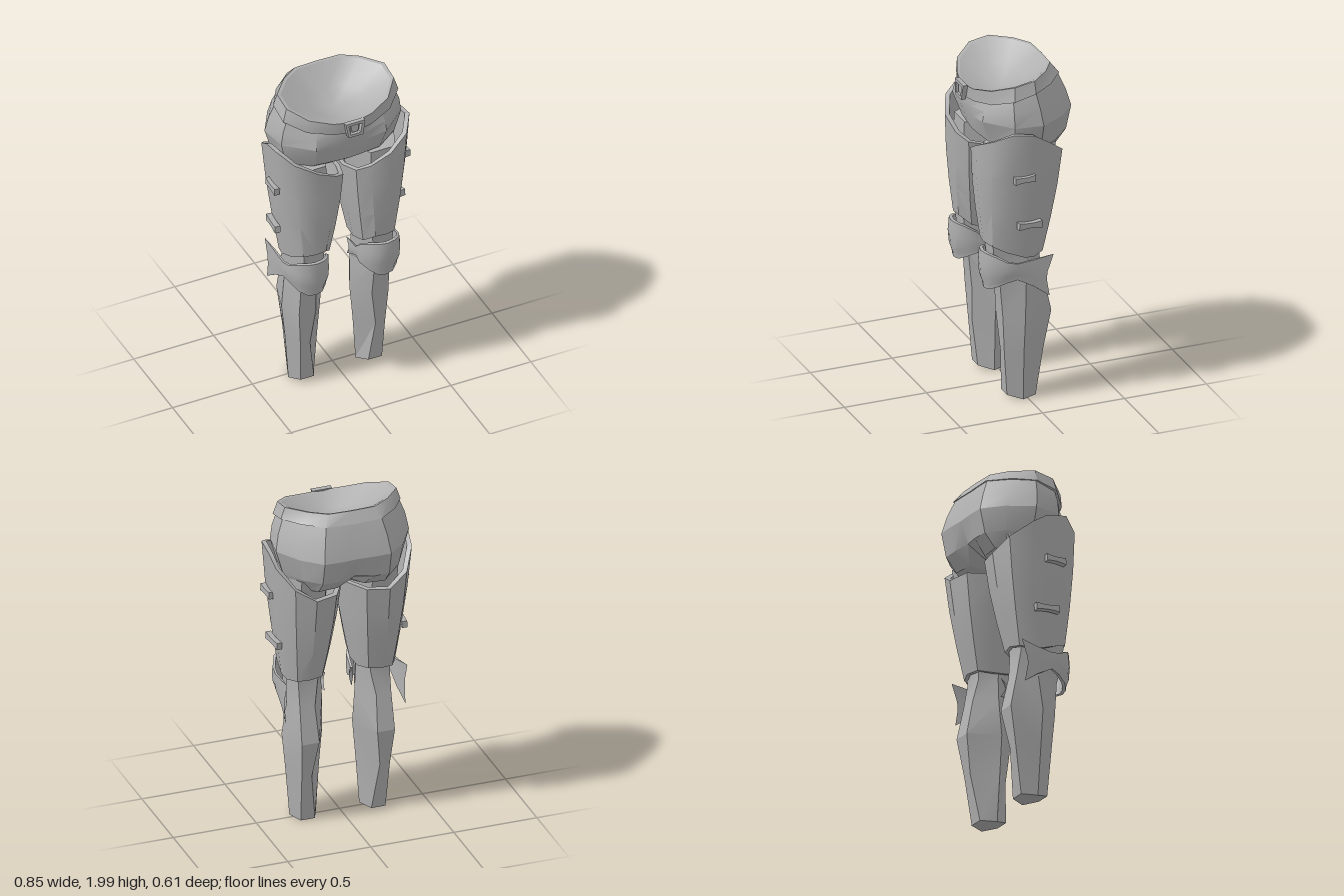
import * as THREE from 'three';
import { toCreasedNormals } from 'three/addons/utils/BufferGeometryUtils.js';

const steel = new THREE.MeshStandardMaterial({ color: 0xb0b0b0, side: THREE.DoubleSide });
steel.name = 'grey';

// Skin a list of cross-sections; side = -1 mirrors in x and keeps faces outward
function loft(rings, { closed = true, side = 1, crease = 0.55 } = {}) {
  const pos = [];
  const tri = (a, b, c) => {
    const same = (p, q) => p.every((v, k) => Math.abs(v - q[k]) < 1e-6);
    if (same(a, b) || same(b, c) || same(a, c)) return;
    for (const p of side > 0 ? [a, b, c] : [a, c, b]) pos.push(p[0] * side, p[1], p[2]);
  };
  const n = rings[0].length;
  for (let i = 0; i < rings.length - 1; i++) {
    for (let j = 0; j < (closed ? n : n - 1); j++) {
      const k = (j + 1) % n;
      tri(rings[i][j], rings[i][k], rings[i + 1][k]);
      tri(rings[i][j], rings[i + 1][k], rings[i + 1][j]);
    }
  }
  const g = new THREE.BufferGeometry();
  g.setAttribute('position', new THREE.Float32BufferAttribute(pos, 3));
  return toCreasedNormals(g, crease);
}

function part(parent, name, geometry) {
  const mesh = new THREE.Mesh(geometry, steel);
  mesh.name = name;
  parent.add(mesh);
  return mesh;
}

// Half ring from front centre to back centre -> full ring
const full = half => [...half, ...half.slice(1, -1).reverse().map(([x, y, z]) => [-x, y, z])];
const point = (ring, p) => ring.map(() => p);
const mix = (a, b, t) => a.map((p, i) => p.map((v, k) => v + (b[i][k] - v) * t));
// Scale a ring in plan about (cx, cz), with an optional lift
const scale = (ring, s, cx, cz, dy = 0) =>
  ring.map(([x, y, z]) => [cx + (x - cx) * s, y + dy, cz + (z - cz) * s]);

function hips(group) {
  const waist = full([[0, 1.84, .26], [.08, 1.845, .25], [.2, 1.86, .215], [.335, 1.91, .11], [.345, 1.94, -.02],
    [.27, 1.945, -.13], [.165, 1.95, -.228], [.08, 1.95, -.23], [0, 1.95, -.23]]);
  const widest = full([[0, 1.72, .25], [.09, 1.72, .25], [.22, 1.74, .25], [.375, 1.74, .115], [.4, 1.74, -.05],
    [.31, 1.74, -.2], [.2, 1.74, -.3], [.1, 1.74, -.303], [0, 1.74, -.298]]);
  const low = full([[0, 1.6, .22], [.07, 1.6, .215], [.2, 1.6, .2], [.34, 1.6, .1], [.36, 1.6, -.05],
    [.29, 1.6, -.18], [.2, 1.6, -.268], [.1, 1.6, -.272], [0, 1.61, -.25]]);
  const crotch = full([[0, 1.55, .16], [.06, 1.56, .16], [.17, 1.53, .13], [.28, 1.5, .08], [.3, 1.5, -.05],
    [.25, 1.51, -.13], [.2, 1.52, -.2], [.08, 1.52, -.19], [0, 1.54, -.13]]);
  const upper = scale(mix(widest, waist, .5), 1.025, 0, 0);
  part(group, 'hips', loft([point(crotch, [0, 1.48, 0]), crotch, low, widest, upper, waist], { crease: .4 }));

  // Belt band and the dished lining inside it
  const beltLow = full([[0, 1.82, .28], [.12, 1.83, .262], [.26, 1.855, .21], [.36, 1.895, .11], [.36, 1.925, -.02],
    [.285, 1.935, -.14], [.167, 1.94, -.24], [0, 1.935, -.242]]);
  const beltTop = full([[0, 1.895, .285], [.12, 1.905, .263], [.247, 1.935, .21], [.336, 1.975, .1], [.336, 1.995, -.02],
    [.24, 2, -.13], [.14, 2, -.195], [0, 2, -.2]]);
  const beltInner = scale(beltTop, .94, 0, .03, -.004);
  part(group, 'belt', loft([scale(beltLow, .93, 0, 0), beltLow, beltTop, beltInner]));
  const centre = [0, 1.84, .04];
  const dish = mix(beltInner, point(beltInner, centre), .5).map(([x, y, z]) => [x, y - .02, z]);
  part(group, 'waistLining', loft([beltInner, dish, point(dish, centre)], { crease: 1.2 }));

  // Tapered buckle frame with a tongue
  const trapezoid = (Type, top, bottom, h) =>
    new Type([[-bottom, -h], [bottom, -h], [top, h], [-top, h]].map(p => new THREE.Vector2(...p)));
  const frame = trapezoid(THREE.Shape, .06, .046, .046);
  frame.holes.push(trapezoid(THREE.Path, .042, .03, .029));
  const buckle = new THREE.Group();
  buckle.name = 'buckle';
  buckle.position.set(0, 1.857, .276);
  buckle.rotation.x = -.08;
  part(buckle, 'buckleFrame', new THREE.ExtrudeGeometry(frame, { depth: .028, bevelEnabled: false }));
  part(buckle, 'buckleTongue', new THREE.ExtrudeGeometry(trapezoid(THREE.Shape, .025, .018, .022),
    { depth: .018, bevelEnabled: false }));
  group.add(buckle);
}

function leg(group, side, label) {
  // Six-sided leg: y, inner x, outer x, flat panel x range, front z, ridge z, back z
  const legRing = ([y, xi, xo, pi, po, zf, zm, zb], dyFront = 0) => [
    [pi, y + dyFront, zf], [po, y + dyFront, zf], [xo, y, zm], [po, y, zb], [pi, y, zb], [xi, y, zm]];
  const foot = legRing([.008, .13, .29, .17, .255, .115, .03, -.06], .028);
  const sections = [
    [.3, .11, .312, .205, .265, .135, .035, -.103],
    [.53, .09, .335, .175, .28, .15, .035, -.145],
    [.74, .098, .31, .185, .275, .166, .02, -.1],
    [.88, .105, .31, .16, .275, .2, .02, -.075],
    [.98, .11, .31, .15, .28, .21, .03, -.08],
    [1.3, .07, .35, .14, .29, .22, .04, -.12],
    [1.58, .05, .37, .14, .29, .21, .03, -.17]].map(s => legRing(s));
  part(group, label + 'Leg', loft([point(foot, [.21, .012, .03]), foot, ...sections,
    point(foot, [.21, 1.6, .02])], { side, crease: .3 }));

  // Thigh armour: hollow shell with slanted rims
  const top = [[.107, 1.54, .275], [.226, 1.605, .293], [.35, 1.668, .238], [.417, 1.72, .137], [.418, 1.695, .01],
    [.408, 1.64, -.075], [.335, 1.545, -.19], [.22, 1.475, -.23], [.09, 1.48, -.2], [.015, 1.48, -.07],
    [.006, 1.475, .11], [.04, 1.5, .225]];
  const bottom = [[.155, 1, .238], [.22, 1, .245], [.285, .985, .215], [.325, .95, .14], [.335, .91, .04],
    [.325, .9, -.02], [.285, .91, -.09], [.22, .92, -.115], [.14, .92, -.095], [.1, .91, -.02],
    [.09, .92, .08], [.105, .95, .18]];
  const bulge = t => scale(mix(bottom, top, t), 1 + .1 * t * (1 - t) * 2, .21, .05);
  const inset = ring => scale(ring, .88, .21, .06);
  part(group, label + 'ThighArmour', loft([inset(bottom), bottom, bulge(.33), bulge(.66), top,
    inset(top), inset(bulge(.5)), inset(bottom)], { side, crease: .6 }));

  // Strap loops on the outer thigh, flared at both ends
  for (const [x, y, z, length, tilt, lean] of [[.408, 1.432, .07, .125, 0, .03], [.384, 1.133, .03, .145, .06, .1]]) {
    const geo = new THREE.BoxGeometry(.032, .036, length, 1, 1, 4);
    const p = geo.attributes.position;
    for (let i = 0; i < p.count; i++) {
      const end = Math.abs(p.getZ(i)) / (length / 2);
      p.setY(i, p.getY(i) * (.8 + .4 * end * end));
    }
    geo.computeVertexNormals();
    const strap = part(group, label + 'ThighStrap', geo);
    strap.position.set(x * side, y, z);
    strap.rotation.set(-tilt, lean * side, .06 * side);
  }

  // Knee guard: columns x, z, top y, bottom y, running from inner wing round to outer wing
  const columns = [[.078, .02, .88, .76], [.1, .09, .845, .785], [.098, .15, .9, .77], [.13, .215, .935, .74],
    [.17, .25, .945, .718], [.22, .26, .945, .713], [.27, .25, .945, .718], [.315, .215, .935, .74],
    [.345, .15, .9, .77], [.352, .09, .885, .785], [.355, -.01, .895, .73], [.362, -.125, .915, .66]];
  // Row at height t, scaled in plan by s; the wing ends stay sharp and notched
  const row = (t, s, shell = 0) => columns.map(([x, z, yt, yb], i) => {
    const last = columns.length - 1, end = i === 0 || i === last;
    const dome = i > 2 && i < last - 2 ? 1 : .25;
    const k = 1 + (s - 1) * dome - (end ? 0 : shell);
    const notch = end ? .035 * Math.sin(Math.PI * t) : 0;
    return [.22 + (x - .22) * k, yb + (yt - yb) * t, .03 + (z - .03) * k + notch + (i === last ? .02 * (1 - t) : 0)];
  });
  part(group, label + 'KneeGuard', loft([row(0, .92), row(.1, .93), row(.3, 1), row(.65, 1.03), row(1, 1),
    row(1, 1, .09), row(.5, 1, .09), row(0, .92, .09), row(0, .92)], { side, closed: false, crease: .6 }));
}

export function createModel() {
  const model = new THREE.Group();
  model.name = 'legArmour';
  hips(model);
  for (const [side, label] of [[1, 'left'], [-1, 'right']]) {
    const group = new THREE.Group();
    group.name = label + 'LegGroup';
    leg(group, side, label);
    model.add(group);
  }
  return model;
}
